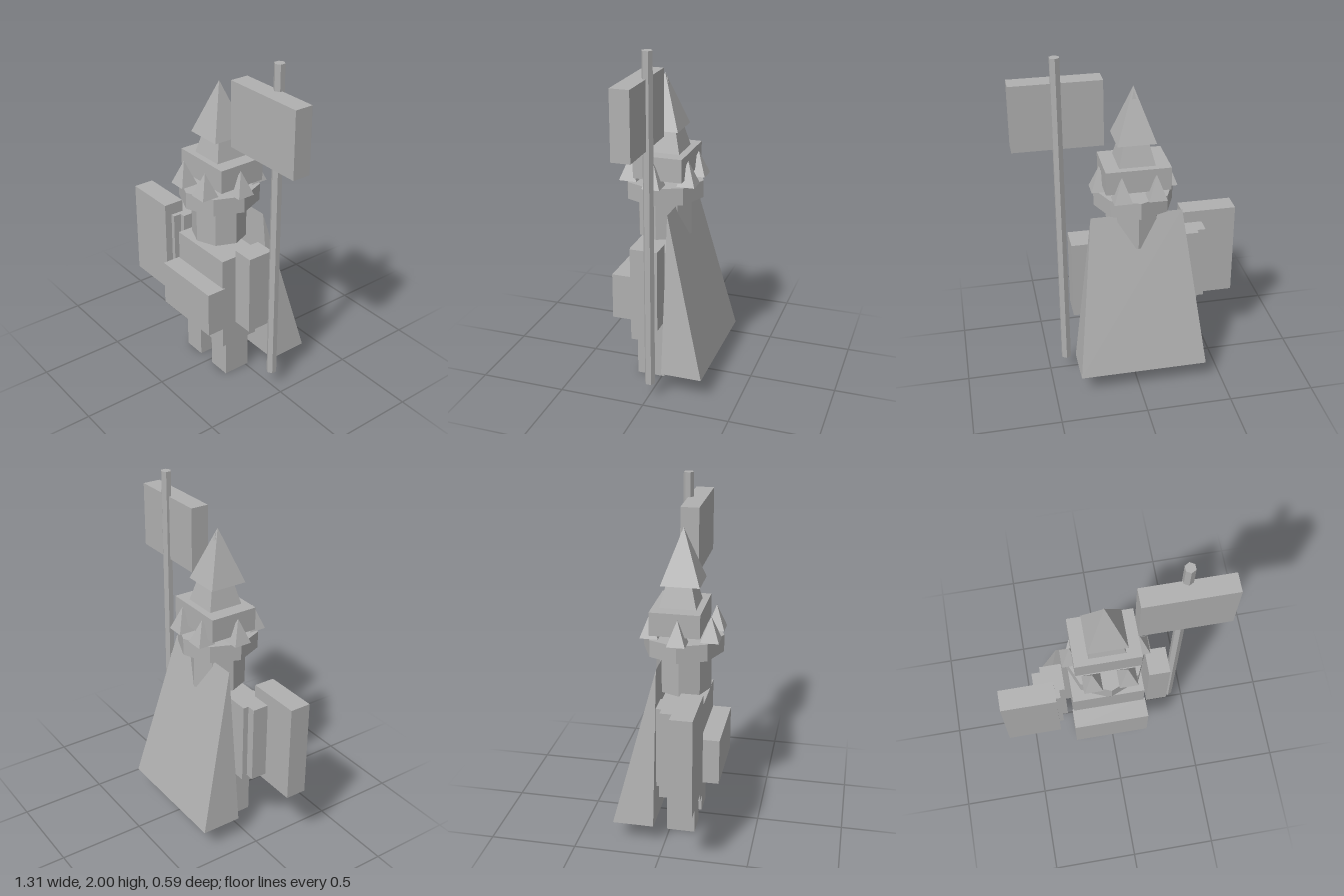
import * as THREE from 'three';
import { ConvexGeometry } from 'three/addons/geometries/ConvexGeometry.js';

export function createModel() {
  const model = new THREE.Group();
  model.name = 'bannerFigure';
  const grey = new THREE.MeshStandardMaterial({ color: 0xb0b0b0, flatShading: true });
  grey.name = 'stone grey';

  const CX = -0.025, CZ = 0.046; // axis of the body and head

  function add(name, geometry, x, y, z) {
    const mesh = new THREE.Mesh(geometry, grey);
    mesh.name = name;
    mesh.position.set(x, y, z);
    model.add(mesh);
    return mesh;
  }
  // Box given by its extents on each axis
  function box(name, [x0, x1], [y0, y1], [z0, z1]) {
    return add(name, new THREE.BoxGeometry(x1 - x0, y1 - y0, z1 - z0),
      (x0 + x1) / 2, (y0 + y1) / 2, (z0 + z1) / 2);
  }
  // Upright prism with a given number of sides
  function prism(name, radius, sides, y0, y1, x, z) {
    return add(name, new THREE.CylinderGeometry(radius, radius, y1 - y0, sides), x, (y0 + y1) / 2, z);
  }
  // Square pyramid with its base edges along x and z
  function pyramid(name, half, y0, y1, x, z) {
    const geometry = new THREE.ConeGeometry(half * Math.SQRT2, y1 - y0, 4).rotateY(Math.PI / 4);
    return add(name, geometry, x, (y0 + y1) / 2, z);
  }

  // Legs and body
  box('rightLeg', [-0.217, -0.08], [0, 0.227], [-0.015, 0.15]);
  box('leftLeg', [0.03, 0.17], [0, 0.227], [-0.015, 0.15]);
  box('torso', [-0.237, 0.187], [0.227, 0.81], [-0.058, 0.185]);
  box('frontPlate', [-0.245, 0.197], [0.36, 0.634], [0.175, 0.293]);

  // Arms
  box('rightArm', [-0.4, -0.273], [0.4, 0.88], [-0.037, 0.122]);
  box('leftArm', [0.225, 0.35], [0.4, 0.88], [-0.037, 0.122]);

  // Shield and its backing
  box('shieldBacking', [-0.45, -0.305], [0.42, 0.88], [-0.005, 0.17]);
  box('shield', [-0.655, -0.332], [0.376, 0.953], [0.09, 0.213]);

  // Cape: a wedge that flares down and back from a sharp top edge
  const capePoints = [
    [-0.29, 1.06, -0.058], [0.24, 1.06, -0.058],
    [-0.4, 0.127, -0.058], [0.35, 0.127, -0.058],
    [-0.4, 0.127, -0.295], [0.35, 0.127, -0.295],
  ].map((p) => new THREE.Vector3(...p));
  add('cape', new ConvexGeometry(capePoints), 0, 0, 0);

  // Head and crown
  prism('head', 0.16, 8, 0.86, 1.07, CX, CZ);
  prism('crownRing', 0.23, 8, 1.09, 1.19, CX, CZ);
  for (let i = 0; i < 6; i++) {
    const a = (i * Math.PI) / 3;
    pyramid('crownSpike', 0.052, 1.19, 1.33, CX + 0.195 * Math.cos(a), CZ + 0.17 / 0.866 * Math.sin(a));
  }

  // Stepped hat
  box('hatBlock', [-0.21, 0.16], [1.225, 1.36], [-0.114, 0.17]);
  pyramid('hatLowerSpire', 0.103, 1.36, 1.77, CX, 0.03);
  pyramid('hatUpperSpire', 0.11, 1.487, 1.792, CX, 0.043);

  // Banner on its pole
  prism('bannerPole', 0.03, 6, 0.093, 2, 0.402, -0.01);
  box('banner', [0.148, 0.652], [1.48, 1.857], [-0.01, 0.097]);

  return model;
}
